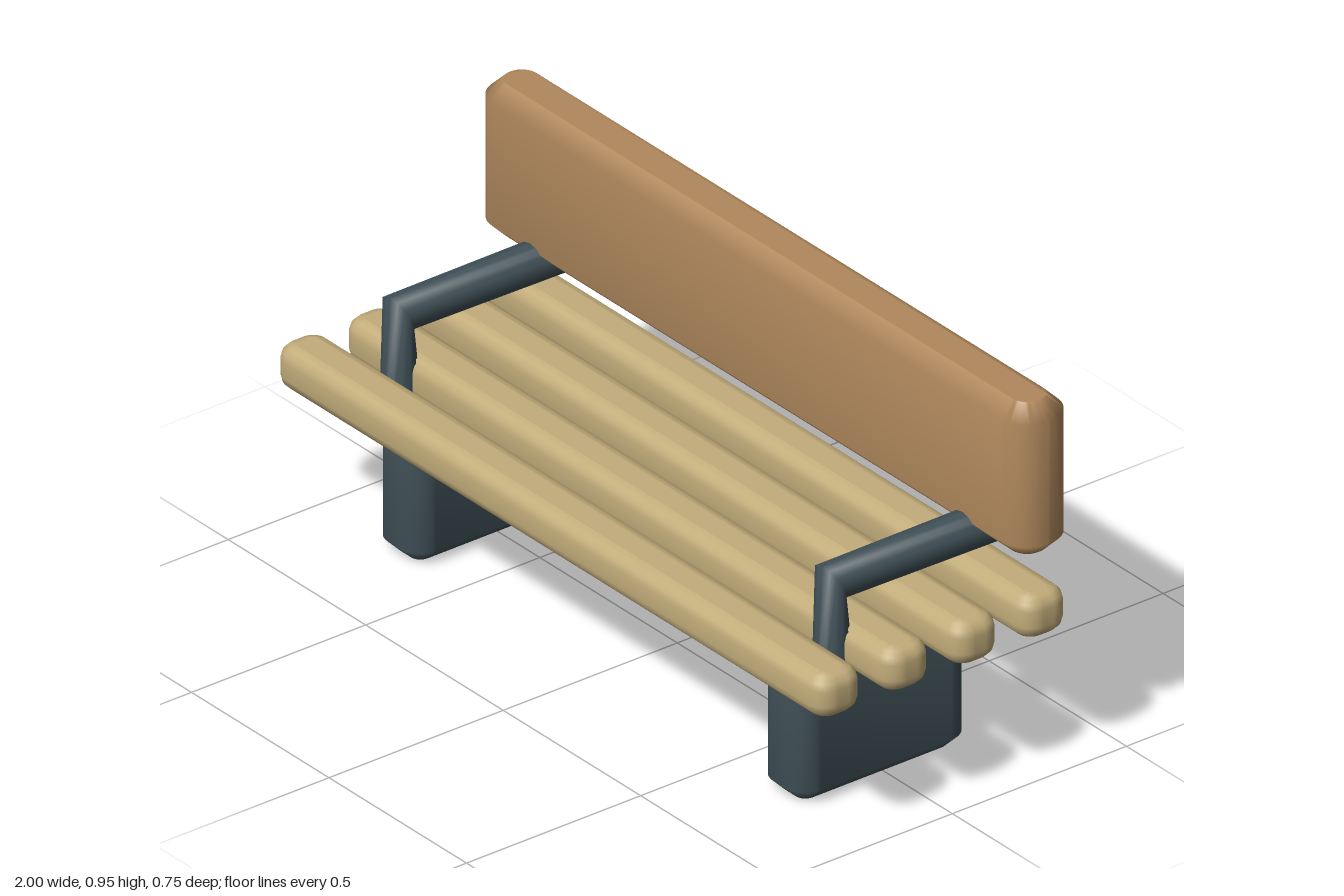
import * as THREE from 'three';
import { mergeVertices } from 'three/addons/utils/BufferGeometryUtils.js';

const mat = (name, color) => {
  const m = new THREE.MeshStandardMaterial({ color });
  m.name = name;
  return m;
};

// Block with a rounded plan outline and bevelled top and bottom, smooth shaded
function softBlock(w, h, d, corner, bevel, steps) {
  const x = w / 2, z = d / 2, r = corner;
  const s = new THREE.Shape();
  s.moveTo(-x + r, -z);
  s.lineTo(x - r, -z);
  s.absarc(x - r, -z + r, r, -Math.PI / 2, 0);
  s.lineTo(x, z - r);
  s.absarc(x - r, z - r, r, 0, Math.PI / 2);
  s.lineTo(-x + r, z);
  s.absarc(-x + r, z - r, r, Math.PI / 2, Math.PI);
  s.lineTo(-x, -z + r);
  s.absarc(-x + r, -z + r, r, Math.PI, Math.PI * 1.5);
  let g = new THREE.ExtrudeGeometry(s, {
    depth: h - 2 * bevel, curveSegments: 4, bevelEnabled: true,
    bevelThickness: bevel, bevelSize: bevel, bevelOffset: -bevel, bevelSegments: steps,
  });
  g.rotateX(-Math.PI / 2);
  g.center();
  g.deleteAttribute('normal');
  g.deleteAttribute('uv');
  g.clearGroups();
  g = mergeVertices(g, 1e-4);
  g.computeVertexNormals();
  return g;
}

// Bent pipe: a cylinder whose three rings are moved to foot, elbow and back end
function armGeometry() {
  const rings = [
    { y: 0.31, z: 0.172, uy: 0, uz: 1 },
    { y: 0.569, z: 0.18, uy: 0.9, uz: 0.44 },
    { y: 0.567, z: -0.375, uy: 1, uz: 0 },
  ];
  const g = new THREE.CylinderGeometry(0.051, 0.051, 2, 14, 2);
  const p = g.attributes.position;
  for (let i = 0; i < p.count; i++) {
    const r = rings[Math.round(p.getY(i)) + 1], v = p.getZ(i);
    p.setXYZ(i, p.getX(i), r.y + r.uy * v, r.z + r.uz * v);
  }
  g.computeVertexNormals();
  return g;
}

export function createModel() {
  const group = new THREE.Group();
  group.name = 'bench';
  const brown = mat('brownWood', 0xb0885c);
  const pale = mat('paleWood', 0xc2ac7a);
  const iron = mat('darkIron', 0x3e4e55);

  const add = (name, geo, material, x, y, z) => {
    const m = new THREE.Mesh(geo, material);
    m.name = name;
    m.position.set(x, y, z);
    group.add(m);
  };

  // Backrest
  add('backrest', softBlock(2, 0.392, 0.162, 0.078, 0.038, 1), brown, 0, 0.759, -0.279);

  // Seat slats
  const slat = softBlock(2, 0.11, 0.13, 0.05, 0.035, 3);
  for (let i = 0; i < 4; i++) add('seatSlat' + (i + 1), slat, pale, 0, 0.412, 0.311 - i * 0.1965);

  // Legs and armrests
  const leg = softBlock(0.16, 0.34, 0.492, 0.06, 0.034, 1);
  const arm = armGeometry();
  for (const [side, s] of [['left', 1], ['right', -1]]) {
    add(side + 'Leg', leg, iron, s * 0.7, 0.17, 0.015);
    add(side + 'Armrest', arm, iron, s * 0.786, 0, 0);
  }
  return group;
}
